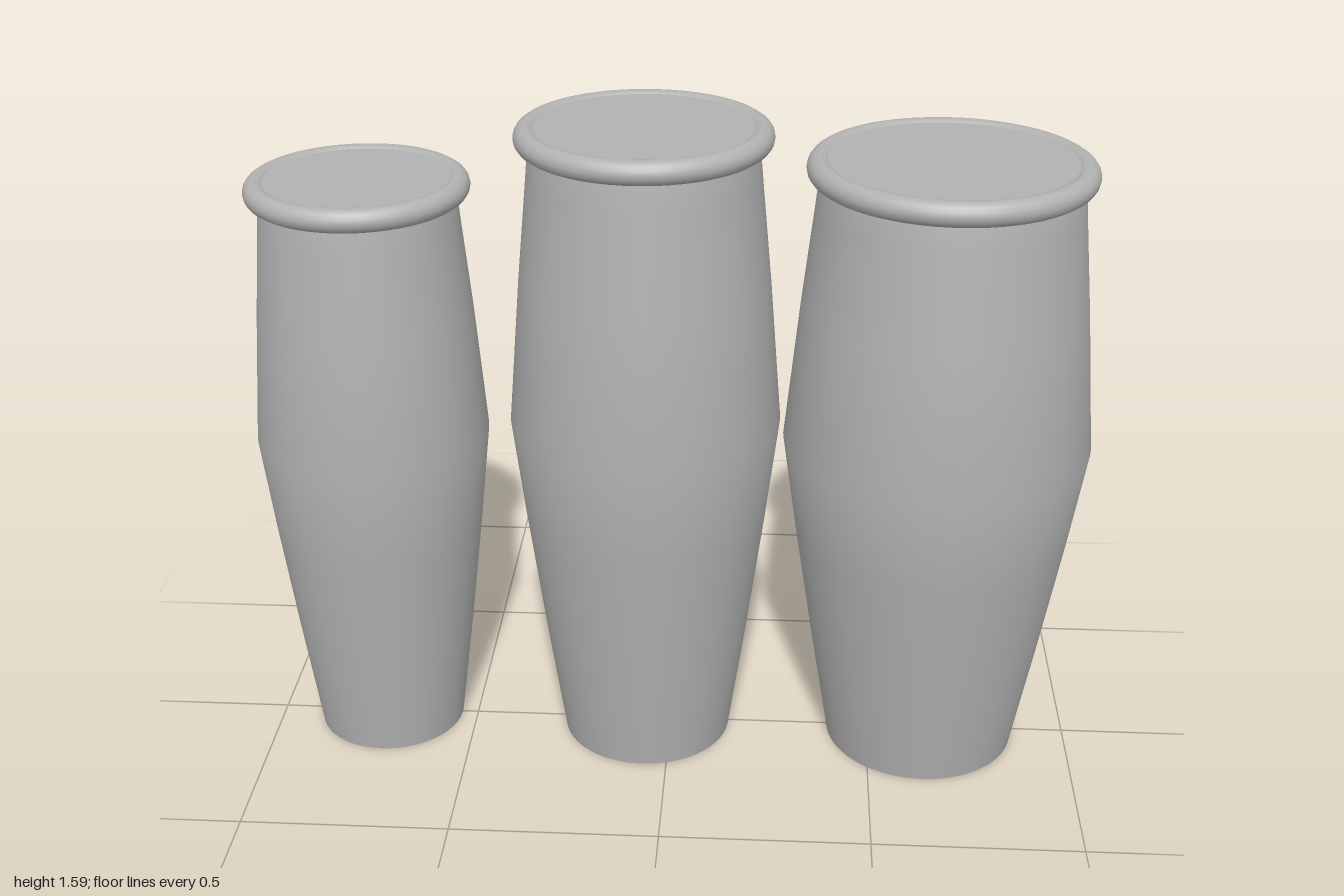
import * as THREE from 'three';

const grey = new THREE.MeshStandardMaterial({ color: 0xb2b2b2, side: THREE.DoubleSide });
grey.name = 'grey';

// One drum: open-bottomed bulging shell, flat head, and a rounded rim ring
function makeDrum({ name, x, bottom, belly, bellyY, top, rimOuter, rimY, tube }) {
  const drum = new THREE.Group();
  drum.name = name;
  drum.position.x = x;

  const headY = rimY + tube * 0.78;
  const rimRadius = rimOuter - tube;
  const mix = THREE.MathUtils.lerp;
  const footY = 0.28;
  const profile = [
    [bottom, 0],
    [mix(bottom, belly, footY / bellyY) + 0.003, footY],
    [mix(bottom, belly, 0.7) + 0.003, bellyY * 0.7],
    [belly, bellyY],
    [mix(belly, top, 0.5) + 0.002, mix(bellyY, rimY, 0.5)],
    [mix(belly, top, 0.87), mix(bellyY, rimY, 0.87)],
    [top, rimY],
    [rimRadius - tube * 0.5, headY],
  ].map(([r, y]) => new THREE.Vector2(r, y));

  const shell = new THREE.Mesh(new THREE.LatheGeometry(profile, 64), grey);
  shell.name = 'shell';

  const head = new THREE.Mesh(new THREE.CircleGeometry(rimRadius - tube * 0.5, 64), grey);
  head.name = 'drumHead';
  head.rotation.x = -Math.PI / 2;
  head.position.y = headY;

  const rim = new THREE.Mesh(new THREE.TorusGeometry(rimRadius, tube, 16, 64), grey);
  rim.name = 'rim';
  rim.rotation.x = -Math.PI / 2;
  rim.position.y = rimY;

  drum.add(shell, head, rim);
  return drum;
}

export function createModel() {
  const model = new THREE.Group();
  model.name = 'drumSet';
  // Three drums in a row, growing wider toward +x
  const drums = [
    { name: 'smallDrum', x: -0.72, bottom: 0.18, belly: 0.278, bellyY: 0.81, top: 0.225, rimOuter: 0.259, rimY: 1.424, tube: 0.028 },
    { name: 'middleDrum', x: -0.06, bottom: 0.208, belly: 0.322, bellyY: 0.865, top: 0.261, rimOuter: 0.295, rimY: 1.558, tube: 0.028 },
    { name: 'largeDrum', x: 0.634, bottom: 0.233, belly: 0.364, bellyY: 0.825, top: 0.296, rimOuter: 0.328, rimY: 1.491, tube: 0.029 },
  ];
  for (const d of drums) model.add(makeDrum(d));
  return model;
}
